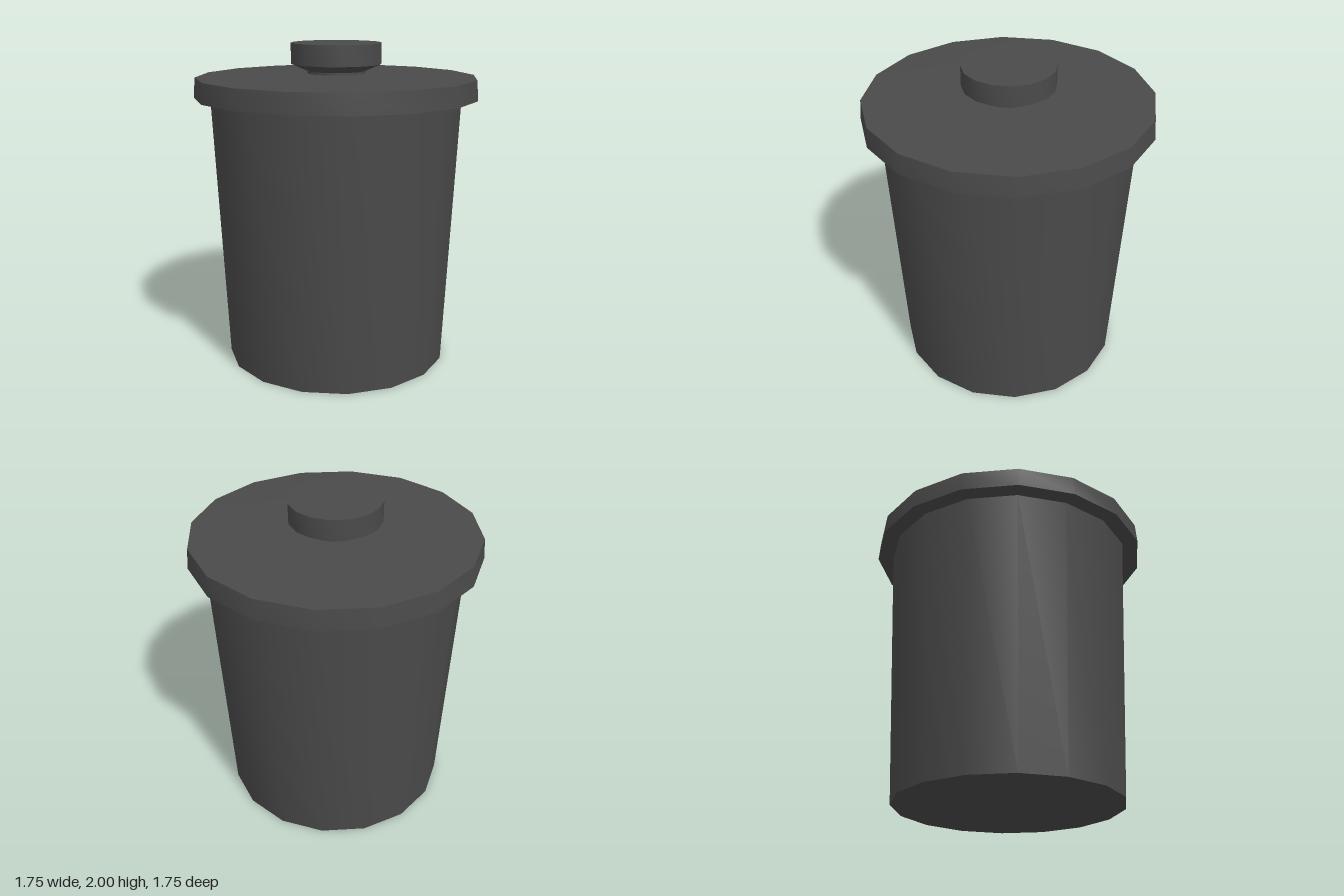
import * as THREE from 'three';
import { toCreasedNormals } from 'three/addons/utils/BufferGeometryUtils.js';

const SIDES = 16;

// Turned part from [radius, height] points, listed from bottom to top
function turned(name, profile, material) {
  const points = profile.map(([r, y]) => new THREE.Vector2(r, y));
  const geometry = toCreasedNormals(new THREE.LatheGeometry(points, SIDES), Math.PI / 6);
  const mesh = new THREE.Mesh(geometry, material);
  mesh.name = name;
  return mesh;
}

export function createModel() {
  const group = new THREE.Group();
  group.name = 'lidded bin';
  const dark = new THREE.MeshStandardMaterial({ color: 0x4a4a4a });

  // Tapered bin with a closed base
  group.add(turned('body', [[0, 0], [0.7, 0], [0.778, 1.68]], dark));

  // Overhanging lid with a sloped rim and a slightly domed top
  group.add(turned('lid', [[0, 1.672], [0.877, 1.672], [0.867, 1.795], [0.18, 1.815], [0, 1.815]], dark));

  // Knob: short neck, flared underside, flat-topped disc
  group.add(turned('knob', [[0.18, 1.81], [0.18, 1.83], [0.28, 1.873], [0.28, 2], [0, 2]], dark));

  return group;
}
